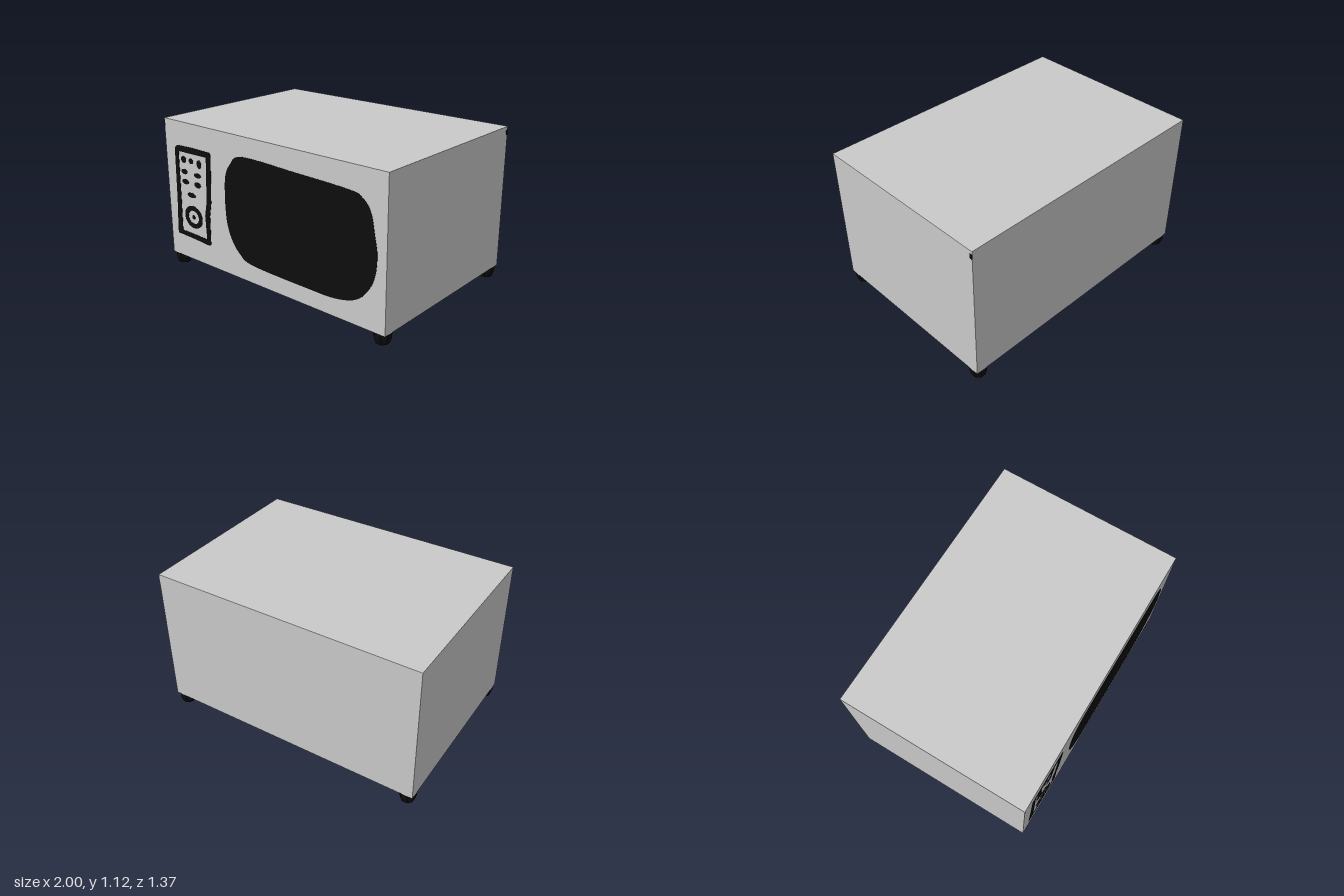
import * as THREE from 'three';

const W = 2, D = 1.37, BOTTOM = 0.076, TOP = 1.117;

export function createModel() {
  const model = new THREE.Group();
  model.name = 'microwaveOven';

  const grey = new THREE.MeshStandardMaterial({ color: 0xcacaca });
  grey.name = 'light grey casing';
  const black = new THREE.MeshStandardMaterial({ color: 0x0d0d0d });
  black.name = 'black trim';

  const add = (name, geometry, material, x = 0, y = 0, z = 0, parent = model) => {
    const mesh = new THREE.Mesh(geometry, material);
    mesh.name = name;
    mesh.position.set(x, y, z);
    parent.add(mesh);
    return mesh;
  };

  // Casing
  add('casing', new THREE.BoxGeometry(W, TOP - BOTTOM, D), grey, 0, (TOP + BOTTOM) / 2);

  // Thin painted plate on the front face
  const plate = (name, shape, parent = model) => add(name,
    new THREE.ExtrudeGeometry(shape, { depth: 0.005, bevelEnabled: false, curveSegments: 24 }),
    black, 0, 0, D / 2 - 0.003, parent);
  const toVectors = (points) => points.map(([x, y]) => new THREE.Vector2(x, y));
  const ellipse = (x, y, rx, ry = rx) => {
    const shape = new THREE.Shape();
    shape.absellipse(x, y, rx, ry, 0, Math.PI * 2, false);
    return shape;
  };

  // Door window with a slightly uneven, hand-drawn outline
  const outline = new THREE.SplineCurve(toVectors([
    [-0.385, 0.6], [-0.375, 0.79], [-0.32, 0.9], [-0.2, 0.975], [0.28, 0.967],
    [0.72, 0.952], [0.82, 0.92], [0.88, 0.845], [0.91, 0.71], [0.93, 0.59],
    [0.915, 0.445], [0.855, 0.325], [0.76, 0.245], [0.6, 0.205], [0.385, 0.2],
    [-0.125, 0.21], [-0.255, 0.26], [-0.335, 0.355], [-0.375, 0.47], [-0.385, 0.6],
  ]));
  plate('doorWindow', new THREE.Shape(outline.getPoints(100)));

  // Control panel frame
  const controls = new THREE.Group();
  controls.name = 'controlPanel';
  model.add(controls);
  const frame = new THREE.Shape(toVectors([
    [-0.9, 0.91], [-0.885, 0.93], [-0.865, 0.938], [-0.72, 0.944], [-0.525, 0.942], [-0.515, 0.92],
    [-0.535, 0.57], [-0.555, 0.47], [-0.56, 0.25], [-0.58, 0.235],
    [-0.74, 0.245], [-0.92, 0.25], [-0.925, 0.27], [-0.91, 0.52],
  ]));
  frame.holes.push(new THREE.Path(toVectors([
    [-0.86, 0.895], [-0.865, 0.52], [-0.87, 0.285], [-0.6, 0.28],
    [-0.607, 0.46], [-0.583, 0.57], [-0.565, 0.9],
  ])));
  plate('panelFrame', frame, controls);

  // Buttons: centre x, y and half sizes
  [
    [-0.81, 0.84, 0.028, 0.024], [-0.73, 0.842, 0.023, 0.02], [-0.645, 0.835, 0.023, 0.031],
    [-0.81, 0.75, 0.034, 0.019], [-0.668, 0.746, 0.036, 0.018],
    [-0.805, 0.675, 0.036, 0.019], [-0.672, 0.675, 0.034, 0.022],
    [-0.745, 0.583, 0.044, 0.018],
  ].forEach((b) => plate('button', ellipse(...b), controls));

  // Dial ring and hub
  const ring = ellipse(-0.737, 0.416, 0.096, 0.086);
  ring.holes.push(ellipse(-0.737, 0.416, 0.057, 0.05));
  plate('dialRing', ring, controls);
  plate('dialHub', ellipse(-0.737, 0.416, 0.016), controls);

  // Faceted feet, tapering to the ground
  const footGeometry = new THREE.LatheGeometry(toVectors([
    [0, 0], [0.048, 0], [0.06, 0.042], [0.061, 0.08],
  ]), 8, Math.PI / 8).toNonIndexed();
  footGeometry.computeVertexNormals();
  for (const x of [-1, 1]) {
    for (const z of [-1, 1]) add('foot', footGeometry, black, x * 0.942, 0, z * 0.631);
  }

  // Tiny dark marks at two opposite upper corners
  add('backCornerMark', new THREE.BoxGeometry(0.004, 0.036, 0.018), black, 1, 1.075, -D / 2 + 0.009);
  add('frontCornerMark', new THREE.BoxGeometry(0.007, 0.03, 0.004), black, -0.9965, 1.082, D / 2);

  return model;
}
